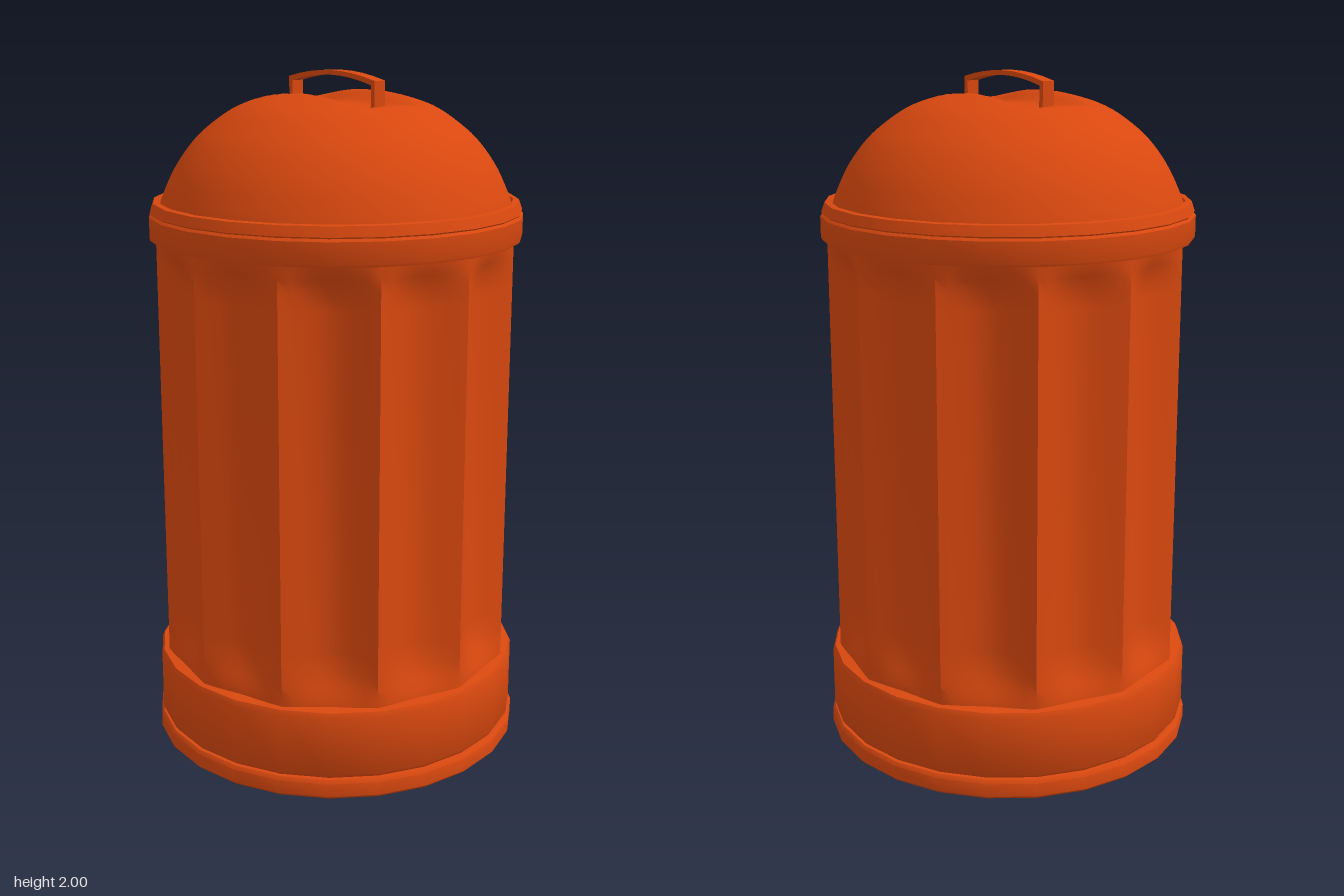
import * as THREE from 'three';
import { toCreasedNormals } from 'three/addons/utils/BufferGeometryUtils.js';

const SIDES = 24;
const FLUTES = 12;

export function createModel() {
  const group = new THREE.Group();
  const material = new THREE.MeshStandardMaterial({ color: 0xd9480f });

  const add = (name, geometry, crease = 0.7) => {
    const mesh = new THREE.Mesh(toCreasedNormals(geometry, crease), material);
    mesh.name = name;
    group.add(mesh);
    return mesh;
  };
  // Profiles run from bottom to top as [radius, height]
  const lathe = (profile, sides = SIDES) =>
    new THREE.LatheGeometry(profile.map(([r, y]) => new THREE.Vector2(r, y)), sides);
  // Moves every vertex of a geometry by a rule
  const reshape = (geometry, rule) => {
    const pos = geometry.attributes.position;
    const v = new THREE.Vector3();
    for (let i = 0; i < pos.count; i++) {
      rule(v.fromBufferAttribute(pos, i));
      pos.setXYZ(i, v.x, v.y, v.z);
    }
    return geometry;
  };

  // Foot ring with closed underside
  add('footRing', lathe([
    [0, 0], [0.545, 0], [0.555, 0.01], [0.555, 0.05], [0.547, 0.06], [0.5, 0.062],
  ]));

  // Plain band above the foot
  add('baseBand', lathe([
    [0.5, 0.06], [0.54, 0.063], [0.548, 0.075], [0.548, 0.25], [0.541, 0.265], [0.5, 0.27],
  ]));

  // Body with concave flutes that fade out at both ends
  const bodyProfile = [0.25, 0.27, 0.29, 0.32, 0.36, 0.42, 1.4, 1.45, 1.49, 1.52, 1.54]
    .map((y) => [0.525, y]);
  add('flutedBody', reshape(lathe(bodyProfile, FLUTES * 8), (v) => {
    const angle = Math.atan2(v.x, v.z);
    const wave = Math.abs(Math.sin(angle * FLUTES / 2));
    const fade = THREE.MathUtils.smoothstep(v.y, 0.25, 0.39)
      * (1 - THREE.MathUtils.smoothstep(v.y, 1.43, 1.54));
    const scale = (0.525 - wave * (0.015 + 0.04 * fade)) / 0.525;
    v.x *= scale;
    v.z *= scale;
  }), 0.8);

  // Stepped rim of the lid
  add('lidRim', lathe([
    [0.45, 1.53], [0.54, 1.53], [0.543, 1.537], [0.543, 1.597], [0.536, 1.604],
    [0.54, 1.608], [0.53, 1.636], [0.513, 1.638], [0.508, 1.625], [0.48, 1.625],
  ]), 0.5);

  // Dome, with a shallow hand recess pressed into the crown
  const crown = new THREE.SplineCurve([
    [0.51, 1.62], [0.5, 1.65], [0.465, 1.725], [0.42, 1.79], [0.37, 1.84], [0.29, 1.895],
    [0.2, 1.927], [0.1, 1.946], [0, 1.952],
  ].map(([r, y]) => new THREE.Vector2(r, y)));
  const domeProfile = crown.getSpacedPoints(30).map((p) => [Math.max(p.x, 0), p.y]);
  add('lidDome', reshape(lathe(domeProfile, 48), (v) => {
    const across = 1 - THREE.MathUtils.smoothstep(Math.abs(v.x), 0.06, 0.14);
    const along = 1 - THREE.MathUtils.smoothstep(Math.abs(v.z), 0.15, 0.25);
    v.y -= 0.042 * across * along;
  }), 1);

  // Arched strap handle running front to back
  const strap = new THREE.Shape();
  strap.moveTo(-0.178, 1.88);
  strap.lineTo(-0.163, 1.88);
  strap.lineTo(-0.163, 1.965);
  strap.quadraticCurveTo(0, 2.009, 0.163, 1.965);
  strap.lineTo(0.163, 1.88);
  strap.lineTo(0.178, 1.88);
  strap.lineTo(0.178, 1.977);
  strap.quadraticCurveTo(0, 2.023, -0.178, 1.977);
  strap.closePath();
  const strapGeometry = new THREE.ExtrudeGeometry(strap, {
    depth: 0.04, bevelEnabled: false, curveSegments: 8,
  });
  strapGeometry.translate(0, 0, -0.02);
  strapGeometry.rotateY(Math.PI / 2);
  add('lidHandle', strapGeometry);

  return group;
}
